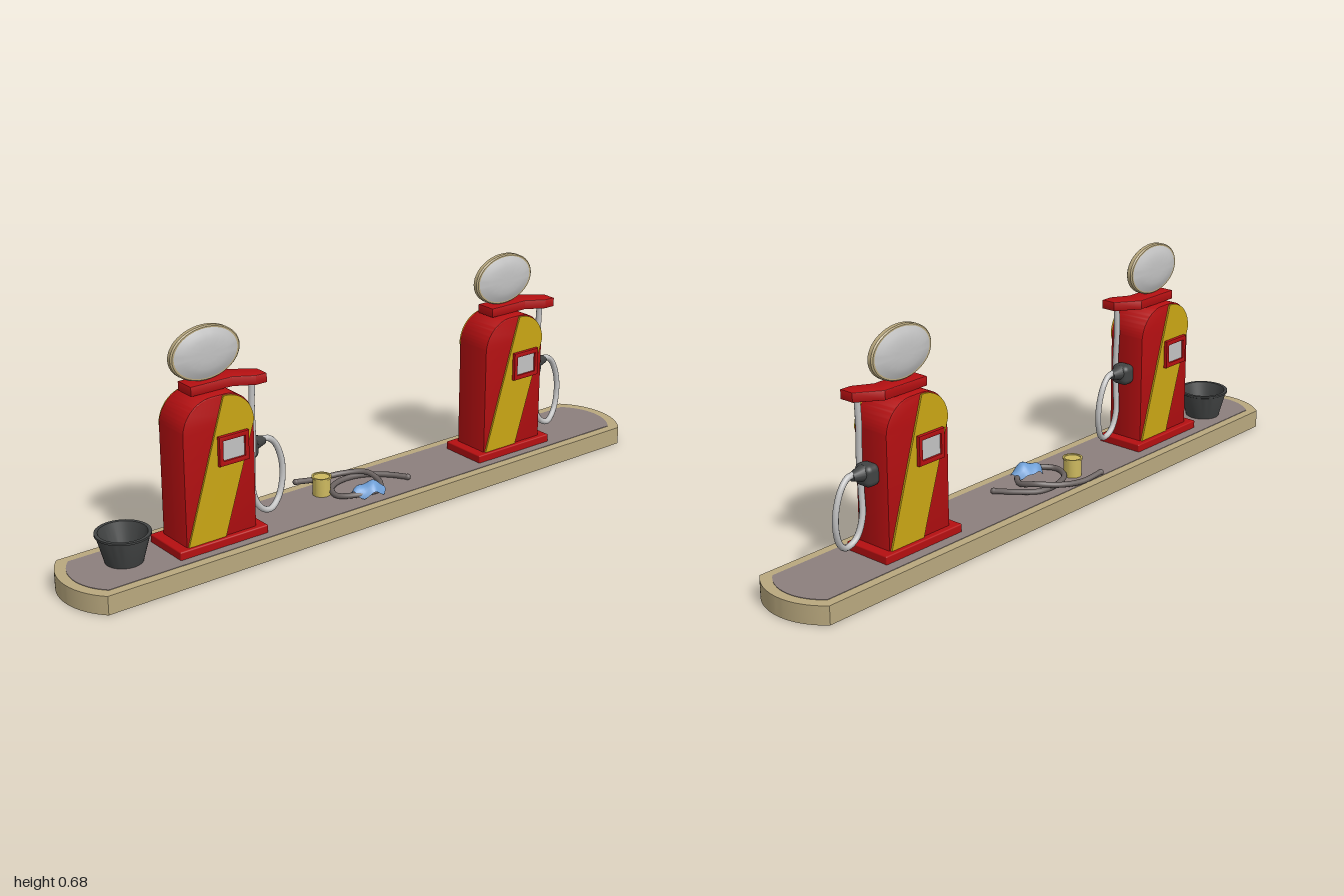
import * as THREE from 'three';
import { toCreasedNormals } from 'three/addons/utils/BufferGeometryUtils.js';
import { RoundedBoxGeometry } from 'three/addons/geometries/RoundedBoxGeometry.js';

const mat = (name, color, extra = {}) => new THREE.MeshStandardMaterial({ name, color, ...extra });
const V = (a) => new THREE.Vector3(...a);
const V2 = (a) => new THREE.Vector2(...a);

function add(parent, name, geometry, material, x = 0, y = 0, z = 0) {
  const mesh = new THREE.Mesh(geometry, material);
  mesh.name = name;
  mesh.position.set(x, y, z);
  parent.add(mesh);
  return mesh;
}

const extrude = (shape, depth, bevel = 0) => toCreasedNormals(new THREE.ExtrudeGeometry(shape, {
  depth, curveSegments: 16, bevelEnabled: bevel > 0, bevelSize: bevel, bevelThickness: bevel,
  bevelOffset: -bevel, bevelSegments: 2,
}), 0.6);
const lathe = (points, segments = 40) =>
  toCreasedNormals(new THREE.LatheGeometry(points.map(V2), segments), 0.5);
const tube = (points, radius, segments) =>
  new THREE.TubeGeometry(new THREE.CatmullRomCurve3(points.map(V)), segments, radius, 10);

// Long slab outline with bowed ends
function islandShape(halfLength, halfWidth, bow) {
  const R = (halfWidth ** 2 + bow ** 2) / (2 * bow);
  const a = Math.asin(halfWidth / R);
  const s = new THREE.Shape();
  s.absarc(halfLength - R, 0, R, -a, a, false);
  s.absarc(R - halfLength, 0, R, Math.PI - a, Math.PI + a, false);
  s.closePath();
  return s;
}

// Ends of a tube closed with small balls
function capEnds(parent, name, points, radius, material) {
  for (const p of [points[0], points[points.length - 1]])
    add(parent, name, new THREE.SphereGeometry(radius, 10, 8), material, ...p);
}

function createPump(m) {
  const pump = new THREE.Group();
  pump.name = 'fuelPump';
  const zc = 0.005;

  add(pump, 'pumpBase', new RoundedBoxGeometry(0.29, 0.028, 0.154, 2, 0.004), m.red, 0, 0.066, 0.003);

  // Cabinet with rounded shoulders
  const s = new THREE.Shape();
  s.moveTo(-0.115, 0.07);
  s.lineTo(0.115, 0.07);
  s.absarc(0.02, 0.4, 0.095, 0, Math.PI / 2, false);
  s.absarc(-0.02, 0.4, 0.095, Math.PI / 2, Math.PI, false);
  s.closePath();
  add(pump, 'cabinet', extrude(s, 0.112, 0.004), m.red, 0, 0, zc - 0.056);

  // Diagonal band and display, repeated on the back by a half turn
  const band = new THREE.Shape();
  band.moveTo(-0.111, 0.08);
  band.lineTo(0.01, 0.08);
  band.absarc(0.02, 0.4, 0.091, 0, Math.PI / 2, false);
  band.lineTo(0.014, 0.491);
  band.closePath();
  const bandGeo = extrude(band, 0.006);
  const frame = new THREE.Shape([[-0.01, 0.294], [0.087, 0.294], [0.087, 0.38], [-0.01, 0.38]].map(V2));
  frame.holes.push(new THREE.Path([[0.003, 0.308], [0.003, 0.366], [0.074, 0.366], [0.074, 0.308]].map(V2)));
  const frameGeo = extrude(frame, 0.014, 0.002);
  for (const [name, turn] of [['frontFace', 0], ['backFace', Math.PI]]) {
    const face = new THREE.Group();
    face.name = name;
    face.position.z = zc;
    face.rotation.y = turn;
    add(face, 'diagonalBand', bandGeo, m.yellow, 0, 0, 0.0595);
    add(face, 'displayFrame', frameGeo, m.red, 0, 0, 0.06);
    add(face, 'displayScreen', new THREE.BoxGeometry(0.078, 0.064, 0.008), m.pale, 0.0385, 0.337, 0.066);
    pump.add(face);
  }

  // Top arm, bent forward to carry the hose
  const arm = new THREE.Shape([[-0.064, 0.03], [0.09, 0.03], [0.16, -0.02],
    [0.16, -0.065], [0.125, -0.065], [0.07, -0.033], [-0.064, -0.033]].reverse().map(V2));
  const armMesh = add(pump, 'topArm', extrude(arm, 0.024, 0.002), m.red, 0, 0.497, 0);
  armMesh.rotation.x = -Math.PI / 2;

  // Oval globe: rim and two domed lenses
  const globe = new THREE.Group();
  globe.name = 'globe';
  globe.position.set(0, 0.6, 0.004);
  globe.scale.x = 1.45;
  const rim = add(globe, 'globeRim', lathe([[0.068, -0.01], [0.074, -0.01], [0.077, -0.006],
    [0.077, 0.006], [0.074, 0.01], [0.068, 0.01]], 48), m.tan);
  const half = [[0.072, 0.009], [0.057, 0.0165], [0.042, 0.0215], [0.022, 0.0232], [0, 0.0235]];
  const lens = add(globe, 'globeLenses',
    lathe([...half.map(([r, y]) => [r, -y]).reverse(), ...half], 48), m.pale);
  rim.rotation.x = lens.rotation.x = Math.PI / 2;
  pump.add(globe);

  // Nozzle holder and hanging hose
  add(pump, 'nozzleHolder', new RoundedBoxGeometry(0.05, 0.062, 0.06, 4, 0.018), m.dark, 0.132, 0.292, 0.004);
  const boot = add(pump, 'nozzleBoot', new THREE.CylinderGeometry(0.012, 0.024, 0.04, 16), m.dark, 0.168, 0.3, 0.004);
  boot.rotation.z = -Math.PI / 2;
  add(pump, 'hose', tube([[0.135, 0.505, 0.03], [0.132, 0.42, 0.03], [0.13, 0.33, 0.035],
    [0.126, 0.24, 0.036], [0.133, 0.16, 0.028], [0.158, 0.11, 0.026], [0.192, 0.095, 0.024],
    [0.228, 0.115, 0.012], [0.25, 0.165, 0.003], [0.25, 0.225, 0], [0.228, 0.28, 0.001],
    [0.2, 0.303, 0.004], [0.165, 0.303, 0.005]], 0.009, 80), m.pale);
  return pump;
}

// Crumpled rag draped over the loose hose
function ragGeometry() {
  const g = new THREE.PlaneGeometry(0.105, 0.07, 14, 10);
  g.rotateX(-Math.PI / 2);
  const p = g.attributes.position;
  for (let i = 0; i < p.count; i++) {
    const u = p.getX(i) / 0.0525, w = p.getZ(i) / 0.035;
    const fall = Math.min(1, 0.55 * u * u + 0.6 * w * w);
    const fold = 0.005 * Math.sin(5 * u + 2 * w) * (1 - 0.5 * fall);
    p.setXYZ(i, p.getX(i) * (1 - 0.3 * w * w * (w > 0 ? 1 : 0.6)), 0.1 - 0.038 * fall + fold,
      p.getZ(i) * (1 - 0.35 * u * u) + 0.006 * u);
  }
  g.computeVertexNormals();
  return g;
}

export function createModel() {
  const m = {
    tan: mat('tan concrete', 0xb9a87e),
    paving: mat('grey paving', 0x8c7f7d),
    red: mat('red paint', 0xb50f11),
    yellow: mat('yellow paint', 0xc9a614),
    pale: mat('pale grey', 0xc2c2c2),
    dark: mat('dark rubber', 0x414343),
    pipe: mat('brown grey hose', 0x6a6260),
    can: mat('straw yellow', 0xcdb95f),
    blue: mat('blue cloth', 0x6f9fd6, { side: THREE.DoubleSide }),
  };
  const model = new THREE.Group();
  model.name = 'fuelStationIsland';

  // Island slab with paved top
  const slab = add(model, 'islandSlab', extrude(islandShape(1, 0.135, 0.055), 0.055), m.tan);
  const paving = add(model, 'islandPaving', extrude(islandShape(0.97, 0.107, 0.045), 0.003), m.paving, 0, 0.0535, 0);
  slab.rotation.x = paving.rotation.x = -Math.PI / 2;

  // Two matching pumps
  for (const x of [-0.54, 0.54]) {
    const pump = createPump(m);
    pump.position.x = x;
    model.add(pump);
  }

  // Open bucket
  add(model, 'bucket', lathe([[0, 0], [0.053, 0], [0.074, 0.078], [0.078, 0.08], [0.078, 0.086],
    [0.068, 0.086], [0.045, 0.012], [0, 0.012]]), m.dark, -0.803, 0.056, -0.018);

  // Small can with a lip
  add(model, 'can', lathe([[0, 0], [0.027, 0], [0.027, 0.052], [0.03, 0.053], [0.03, 0.058],
    [0.025, 0.058], [0.024, 0.055], [0, 0.055]], 24), m.can, -0.12, 0.056, -0.038);

  // Loose coiled hose
  const coil = [[-0.155, 0.076, -0.118], [-0.08, 0.068, -0.11], [-0.005, 0.074, -0.088],
    [0.05, 0.08, -0.04], [0.055, 0.068, 0.015], [0.012, 0.068, 0.062], [-0.055, 0.072, 0.064],
    [-0.107, 0.067, 0.02], [-0.085, 0.067, -0.035], [-0.025, 0.066, -0.064], [0.05, 0.064, -0.06],
    [0.108, 0.066, -0.01], [0.143, 0.066, 0.04]];
  add(model, 'looseHose', tube(coil, 0.0085, 100), m.pipe);
  capEnds(model, 'looseHoseEnd', coil, 0.0095, m.pipe);

  add(model, 'rag', ragGeometry(), m.blue, -0.02, 0, 0.058);
  return model;
}
